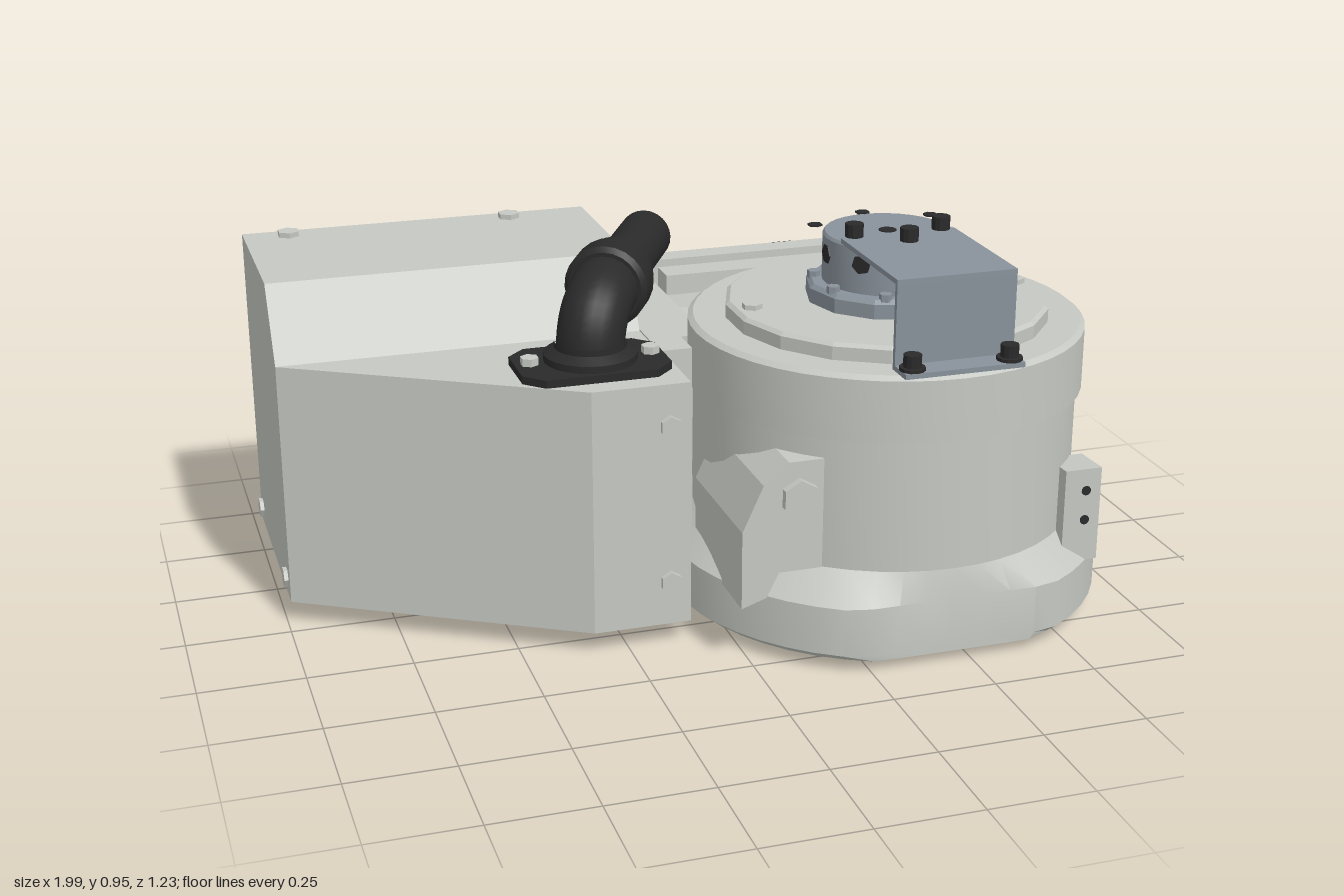
import * as THREE from 'three';
import { toCreasedNormals } from 'three/addons/utils/BufferGeometryUtils.js';

const paint = (name, color) => {
  const m = new THREE.MeshStandardMaterial({ color });
  m.name = name;
  return m;
};

export function createModel() {
  const model = new THREE.Group();
  const body = paint('body grey', 0xc5c8c2);
  const steel = paint('blue steel', 0x89929b);
  const black = paint('black', 0x2a2a2a);
  const CX = 0.455, CZ = 0.133; // drum axis
  const UP = new THREE.Vector3(0, 1, 0);

  const add = (name, geo, mat, x = 0, y = 0, z = 0) => {
    const m = new THREE.Mesh(geo, mat);
    m.name = name;
    m.position.set(x, y, z);
    model.add(m);
    return m;
  };
  // box given by its limits
  const box = (name, mat, x0, x1, y0, y1, z0, z1) =>
    add(name, new THREE.BoxGeometry(x1 - x0, y1 - y0, z1 - z0), mat, (x0 + x1) / 2, (y0 + y1) / 2, (z0 + z1) / 2);
  // cylinder starting at p and running along dir
  const rod = (name, mat, r, len, p, dir = [0, 1, 0], seg = 6) => {
    const g = new THREE.CylinderGeometry(r, r, len, seg).translate(0, len / 2, 0);
    const m = add(name, seg < 20 ? toCreasedNormals(g, 0.4) : g, mat, ...p);
    m.quaternion.setFromUnitVectors(UP, new THREE.Vector3(...dir).normalize());
    return m;
  };
  const lathe = (name, mat, pts, seg, x, y, z, crease = 0.45) =>
    add(name, toCreasedNormals(new THREE.LatheGeometry(pts.map(p => new THREE.Vector2(...p)), seg), crease), mat, x, y, z);
  const shapeOf = pts => new THREE.Shape(pts.map(p => new THREE.Vector2(...p)));
  const extrude = (shape, depth) => new THREE.ExtrudeGeometry(shape, { depth, bevelEnabled: false, curveSegments: 8 });
  // [x, z] outline raised from y0 to y1
  const plan = (name, mat, pts, y0, y1) =>
    add(name, extrude(shapeOf(pts.map(([x, z]) => [x, -z])), y1 - y0).rotateX(-Math.PI / 2), mat, 0, y0, 0);
  // [z, y] outline swept from x0 to x1
  const section = (name, mat, pts, x0, x1) =>
    add(name, extrude(shapeOf(pts.map(([z, y]) => [-z, y])), x1 - x0).rotateY(Math.PI / 2), mat, x0, 0, 0);
  // [x, y] outline swept from z0 to z1
  const front = (name, mat, pts, z0, z1) => add(name, extrude(shapeOf(pts), z1 - z0), mat, 0, 0, z0);

  // drum: base with its front cut flat, wall, collar and lid
  const base = new THREE.LatheGeometry([[0, 0.025], [0.515, 0.025], [0.535, 0.042], [0.535, 0.16], [0.465, 0.23], [0, 0.23]]
    .map(p => new THREE.Vector2(...p)), 48);
  const bp = base.attributes.position;
  for (let i = 0; i < bp.count; i++) bp.setZ(i, Math.min(bp.getZ(i), 0.478));
  add('drumBase', toCreasedNormals(base, 0.4), body, CX, 0, CZ);
  lathe('drumWall', body, [[0.465, 0.2], [0.465, 0.56]], 48, CX, 0, CZ);
  lathe('drumCollar', body, [[0.46, 0.55], [0.478, 0.55], [0.478, 0.7], [0.465, 0.71], [0, 0.71]], 48, CX, 0, CZ);
  lathe('lid', body, [[0.39, 0.71], [0.39, 0.742], [0.38, 0.75], [0, 0.75]], 18, CX, 0, CZ, 0.2);
  lathe('outputFlange', body, [[0, 0.003], [0.205, 0.003], [0.215, 0.012], [0.215, 0.03]], 32, CX, 0, CZ);
  rod('outputHub', steel, 0.15, 0.01, [CX, 0.001, CZ], [0, 1, 0], 32);
  for (let i = 0; i < 8; i++) {
    const a = i * Math.PI / 4;
    rod('hubHole', black, 0.014, 0.004, [CX + 0.11 * Math.cos(a), 0, CZ + 0.11 * Math.sin(a)], [0, 1, 0], 8);
  }
  for (const [dx, dz] of [[0.34, 0], [-0.34, 0], [0, 0.34], [0, -0.34]])
    rod('lidBolt', body, 0.025, 0.012, [CX + dx, 0.75, CZ + dz]);

  // worm housing behind the drum, with the round end cover
  section('wormHousing', body, [[0, 0.58], [-0.3, 0.62], [-0.53, 0.6], [-0.53, 0.17], [-0.4, 0.115], [-0.16, 0.115], [-0.05, 0.3]], -0.02, 0.9);
  rod('endCover', body, 0.236, 0.085, [0.89, 0.378, -0.31], [1, 0, 0], 14);
  for (const [dz, dy] of [[0.2, 0], [-0.2, 0], [0.015, 0.2], [0.015, -0.2]])
    rod('coverBolt', body, 0.018, 0.014, [0.975, 0.378 + dy, -0.31 + dz], [1, 0, 0]);
  box('motorAdapter', body, -0.11, 0.07, 0.12, 0.62, -0.54, -0.08);
  box('adapterFlange', body, -0.11, -0.03, 0.1, 0.66, -0.5, 0.12);

  // mounting rails with open slots at both ends
  for (const [y0, y1] of [[0.06, 0.23], [0.51, 0.68]]) {
    const ym = (y0 + y1) / 2, s = 0.025;
    const edge = y0 < 0.3 ? ym - 0.02 : ym + 0.02;
    front('mountingRail', body, [[-0.09, y0], [0.955, y0], [0.955, edge - s], [0.9, edge - s], [0.885, edge], [0.9, edge + s],
      [0.955, edge + s], [0.955, y1], [-0.09, y1], [-0.09, edge + s], [-0.035, edge + s], [-0.02, edge], [-0.035, edge - s], [-0.09, edge - s]], -0.595, -0.53);
    box('railWeb', body, 0.08, 0.9, y0 + 0.03, y1 - 0.02, -0.535, -0.45);
    box('railClip', black, 0.427, 0.483, y0 + 0.005, y1 - 0.005, -0.613, -0.56);
    rod('clipScrew', steel, 0.012, 0.003, [0.455, ym, -0.613], [0, 0, -1], 8);
  }
  box('backPlate', body, -0.08, 0.93, 0.22, 0.52, -0.57, -0.5);

  // motor hood: angled lower case and sloped top cover
  plan('motorCase', body, [[-0.99, -0.595], [-0.2, -0.595], [-0.2, -0.58], [-0.1, -0.58], [-0.1, 0.335], [-0.335, 0.335], [-0.99, -0.05]], 0.055, 0.656);
  section('motorCover', body, [[-0.595, 0.655], [-0.05, 0.655], [-0.16, 0.825], [-0.595, 0.825]], -0.99, -0.11);
  box('caseStrip', body, -0.175, -0.125, 0.08, 0.64, -0.59, -0.57);
  for (const x of [-0.88, -0.315]) rod('coverScrew', body, 0.028, 0.013, [x, 0.825, -0.55]);
  for (const y of [0.165, 0.555]) rod('caseFrontBolt', body, 0.026, 0.013, [-0.15, y, 0.335], [0, 0, 1]);
  for (const z of [-0.55, -0.1]) rod('caseSideBolt', body, 0.024, 0.01, [-0.99, 0.1, z], [-1, 0, 0]);
  for (const [x, z] of [[-0.15, 0.27], [-0.15, -0.46], [-0.58, 0.1], [-0.72, -0.3]])
    rod('caseFootBolt', body, 0.022, 0.012, [x, 0.055, z], [0, -1, 0]);

  // cable connector: plate, socket, elbow, nut and hollow sleeve
  const c = 0.045;
  plan('connectorPlate', black, [[-0.47 + c, 0.05], [-0.115 - c, 0.05], [-0.115, 0.05 + c], [-0.115, 0.28 - c],
    [-0.115 - c, 0.28], [-0.47 + c, 0.28], [-0.47, 0.28 - c], [-0.47, 0.05 + c]], 0.655, 0.675);
  for (const x of [-0.435, -0.145]) rod('connectorBolt', body, 0.022, 0.018, [x, 0.675, 0.16]);
  lathe('connectorSocket', black, [[0.11, 0], [0.11, 0.02], [0.085, 0.035], [0.085, 0.05]], 24, -0.29, 0.672, 0.16);
  const d = new THREE.Vector3(0.475, 0, -0.88), elbowEnd = new THREE.Vector3(-0.215, 0.808, 0.04);
  const path = new THREE.CubicBezierCurve3(new THREE.Vector3(-0.29, 0.68, 0.16), new THREE.Vector3(-0.29, 0.76, 0.16),
    new THREE.Vector3(-0.27, 0.808, 0.142), elbowEnd);
  add('connectorElbow', new THREE.TubeGeometry(path, 16, 0.08, 20), black);
  const along = (name, pts, t) => {
    const p = elbowEnd.clone().addScaledVector(d, t);
    lathe(name, black, pts, 24, p.x, p.y, p.z).quaternion.setFromUnitVectors(UP, d.clone().normalize());
  };
  along('connectorNut', [[0, 0], [0.088, 0], [0.1, 0.012], [0.1, 0.085], [0.09, 0.1], [0.09, 0.13], [0, 0.13]], -0.025);
  along('cableSleeve', [[0.066, 0], [0.066, 0.35], [0.052, 0.35], [0.052, 0.2], [0, 0.2]], 0.08);

  // turntable hub on the lid
  lathe('hubFlange', steel, [[0.195, 0.75], [0.195, 0.785], [0.185, 0.795], [0, 0.795]], 12, CX, 0, CZ, 0.3);
  lathe('hubDrum', steel, [[0.155, 0.79], [0.155, 0.905], [0.15, 0.912], [0, 0.912]], 32, CX, 0, CZ);
  rod('hubCentreHole', black, 0.022, 0.003, [CX, 0.911, CZ], [0, 1, 0], 12);
  for (let i = 0; i < 8; i++) {
    const a = i * Math.PI / 4, s = Math.sin(a), k = Math.cos(a);
    rod('hubSideScrew', black, 0.024, 0.004, [CX + 0.153 * k, 0.867, CZ + 0.153 * s], [k, 0, s]);
    const b = a + Math.PI / 8;
    rod('hubFlangeBolt', steel, 0.016, 0.018, [CX + 0.174 * Math.cos(b), 0.79, CZ + 0.174 * Math.sin(b)]);
  }
  for (const [x, z] of [[0.305, 0.04], [0.605, 0.04], [CX, -0.03]]) rod('hubBolt', black, 0.018, 0.004, [x, 0.911, z]);

  // bent stop bracket with its bolts
  plan('bracketTop', steel, [[0.31, 0.2], [0.335, 0.165], [0.375, 0.165], [0.405, 0.2], [0.505, 0.2], [0.535, 0.165], [0.575, 0.165], [0.6, 0.2],
    [0.6, 0.43], [0.6, 0.546], [0.31, 0.546], [0.31, 0.43]], 0.911, 0.923);
  box('bracketFace', steel, 0.31, 0.6, 0.715, 0.923, 0.534, 0.546);
  box('bracketFoot', steel, 0.31, 0.6, 0.711, 0.723, 0.534, 0.61);
  for (const [x, z] of [[0.345, 0.195], [0.565, 0.195], [CX, 0.265]]) {
    rod('bracketTopBolt', black, 0.022, 0.032, [x, 0.923, z], [0, 1, 0], 12);
  }
  for (const x of [0.337, 0.573]) {
    rod('bracketFootWasher', black, 0.03, 0.008, [x, 0.723, 0.582], [0, 1, 0], 12);
    rod('bracketFootBolt', black, 0.021, 0.037, [x, 0.723, 0.582], [0, 1, 0], 12);
  }

  // bosses on the drum's front corners
  front('cornerBoss', body, [[-0.03, 0.15], [0.03, 0.17], [0.06, 0.23], [0.165, 0.23], [0.165, 0.5], [0.08, 0.5], [0.02, 0.45], [-0.03, 0.34]], 0.15, 0.5);
  rod('bossBolt', body, 0.045, 0.025, [0.105, 0.415, 0.495], [0, 0, 1]);
  section('cornerLug', body, [[0.505, 0.16], [0.505, 0.395], [0.4, 0.39], [0.365, 0.355], [0.365, 0.23]], 0.775, 0.868);
  for (const y of [0.265, 0.34]) rod('lugHole', black, 0.012, 0.003, [0.83, y, 0.504], [0, 0, 1], 10);

  // side strip and drain plug
  box('sideStrip', body, 0.88, 0.935, 0.215, 0.495, 0.1, 0.187);
  for (const y of [0.265, 0.46]) rod('stripBolt', body, 0.02, 0.012, [0.935, y, 0.14], [1, 0, 0]);
  rod('plugSeat', body, 0.052, 0.06, [0.87, 0.365, 0], [1, 0, 0], 16);
  rod('plug', body, 0.034, 0.02, [0.93, 0.365, 0], [1, 0, 0], 6);
  rod('plugSocket', steel, 0.018, 0.003, [0.949, 0.365, 0], [1, 0, 0], 4);

  return model;
}
